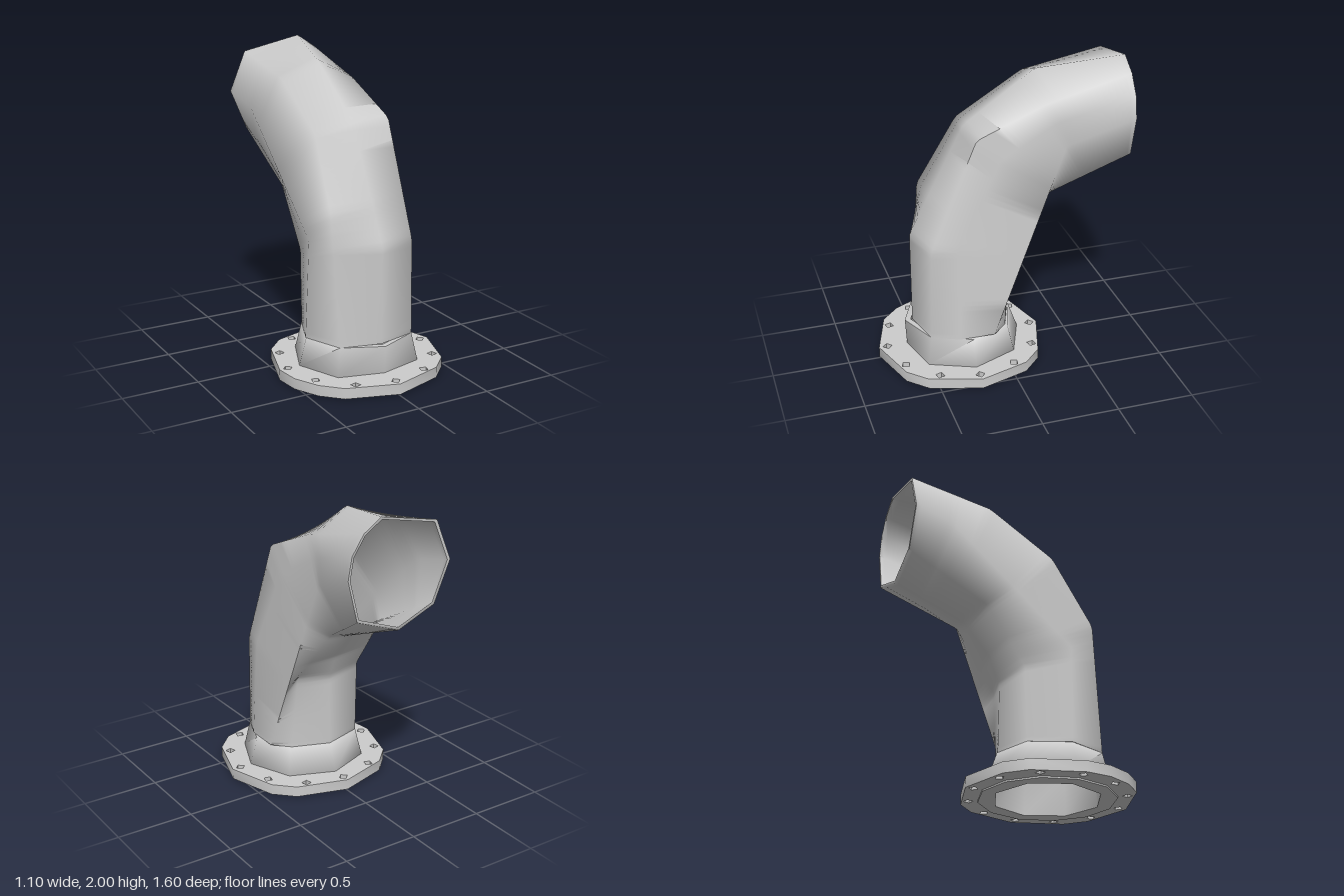
import * as THREE from 'three';
import { toCreasedNormals } from 'three/addons/utils/BufferGeometryUtils.js';

const CZ = 0.245; // flange axis
const grey = () => new THREE.MeshStandardMaterial({ color: 0xcccccc, side: THREE.DoubleSide });
const V = (p) => new THREE.Vector3(...p);

// Skin over a closed chain of rings (outer wall up, inner wall back down)
function loft(rings) {
  const n = rings[0].length, m = rings.length, index = [];
  for (let i = 0; i < m; i++) {
    const k = (i + 1) % m;
    for (let j = 0; j < n; j++) {
      const l = (j + 1) % n;
      const a = i * n + j, b = i * n + l, c = k * n + l, d = k * n + j;
      index.push(a, d, b, b, d, c);
    }
  }
  const g = new THREE.BufferGeometry();
  g.setAttribute('position', new THREE.Float32BufferAttribute(rings.flat().flatMap((p) => [p.x, p.y, p.z]), 3));
  g.setIndex(index);
  return toCreasedNormals(g, 1.35);
}

function shrink(ring, s) {
  const c = new THREE.Vector3();
  ring.forEach((p) => c.addScaledVector(p, 1 / ring.length));
  return ring.map((p) => c.clone().lerp(p, s));
}

// Lengthwise edges of the pipe, base to mouth, in order around the section
const strands = [
  [[0, 0.26, 0.565], [0, 0.89, 0.565], [0, 1.6, 0.2], [0, 1.92, -0.26], [0.14, 2, -0.8]],
  [[-0.26, 0.26, 0.5], [-0.29, 1.1, 0.44], [-0.26, 1.55, 0.18], [-0.26, 1.82, -0.26], [-0.26, 1.92, -0.8]],
  [[-0.365, 0.26, 0.245], [-0.345, 0.9, 0.26], [-0.345, 1.6, -0.55], [-0.37, 1.66, -0.8]],
  [[-0.26, 0.26, -0.01], [-0.26, 0.75, -0.02], [-0.26, 1.12, -0.27], [-0.26, 1.4, -0.8]],
  [[0, 0.26, -0.09], [0, 0.72, -0.08], [0, 0.9, -0.15], [0, 1.1, -0.32], [0, 1.29, -0.8]],
  [[0.24, 0.26, 0], [0.21, 0.75, -0.03], [0.15, 1.13, -0.32], [0.3, 1.4, -0.8]],
  [[0.34, 0.26, 0.1], [0.285, 1.5, -0.38], [0.365, 1.66, -0.8]],
  [[0.335, 0.26, 0.33], [0.3, 0.9, 0.32], [0.28, 1.45, 0.05], [0.265, 1.65, -0.32], [0.34, 1.8, -0.8]],
  [[0.26, 0.26, 0.5], [0.26, 0.88, 0.49], [0.26, 1.6, 0.19], [0.26, 1.78, -0.25], [0.26, 1.92, -0.8]],
].map((s) => s.map(V));

// Position along the pipe: straight riser, then angle around the bend
const along = (p) => (p.y > 0.63 ? Math.atan2(p.y - 0.63, p.z + 0.8) : p.y - 0.63);

function pointOn(strand, t) {
  let i = 0;
  while (i < strand.length - 2 && along(strand[i + 1]) < t) i++;
  const t0 = along(strand[i]), t1 = along(strand[i + 1]);
  return strand[i].clone().lerp(strand[i + 1], (t - t0) / (t1 - t0));
}

function pipeGeometry() {
  const steps = 60, outer = [];
  for (let i = 0; i <= steps; i++) {
    const t = THREE.MathUtils.lerp(-0.37, Math.PI / 2, i / steps);
    outer.push(strands.map((s) => pointOn(s, t)));
  }
  return loft([...outer, ...outer.map((r) => shrink(r, 0.95)).reverse()]);
}

// Tapered neck between flange and pipe
function neckGeometry() {
  const ring = (y, half) => {
    const mirrored = half.slice(1, -1).reverse().map(([x, z]) => [-x, z]);
    return [...half, ...mirrored].map(([x, z]) => new THREE.Vector3(x, y, z));
  };
  const bottom = ring(0.08, [[0, 0.605], [-0.29, 0.53], [-0.41, CZ], [-0.29, -0.045], [0, -0.16]]);
  const top = ring(0.26, [[0, 0.615], [-0.26, 0.5], [-0.36, CZ], [-0.26, -0.01], [0, -0.095]]);
  const bore = (y, r) => ring(y, [0, 1, 2, 3, 4].map((i) => {
    const a = (i * Math.PI) / 4;
    return [-r * Math.sin(a), CZ + r * Math.cos(a)];
  }));
  return loft([bottom, top, bore(0.26, 0.33), bore(0.005, 0.345)]);
}

// Regular polygon path in plan
function polygon(cx, cz, r, sides, turn) {
  return Array.from({ length: sides }, (_, i) => {
    const a = turn + (i * 2 * Math.PI) / sides;
    return new THREE.Vector2(cx + r * Math.cos(a), cz + r * Math.sin(a));
  });
}

// Flat plate with holes, drawn in plan (x, z), lying between two heights
function plate(outline, holes, y0, y1) {
  const shape = new THREE.Shape(outline);
  holes.forEach((h) => shape.holes.push(new THREE.Path(h)));
  const g = new THREE.ExtrudeGeometry(shape, { depth: y1 - y0, bevelEnabled: false });
  return toCreasedNormals(g.rotateX(Math.PI / 2).translate(0, y1, 0), 0.8);
}

export function createModel() {
  const group = new THREE.Group();
  const add = (name, geometry) => {
    const mesh = new THREE.Mesh(geometry, grey());
    mesh.name = name;
    group.add(mesh);
  };

  add('bentPipe', pipeGeometry());
  add('neck', neckGeometry());

  // Flange with a ring of twelve bolt holes
  const rim = [[0, 0.795], [0.33, 0.69], [0.45, 0.57], [0.55, CZ], [0.45, -0.08], [0.33, -0.2], [0, -0.3],
    [-0.33, -0.2], [-0.45, -0.08], [-0.55, CZ], [-0.53, 0.41], [-0.45, 0.57], [-0.33, 0.69]]
    .map(([x, z]) => new THREE.Vector2(x, z));
  const bore = polygon(0, CZ, 0.345, 8, 0);
  const boltHoles = Array.from({ length: 12 }, (_, i) => {
    const a = (i * Math.PI) / 6;
    return polygon(0.493 * Math.cos(a), CZ + 0.493 * Math.sin(a), 0.031, 4, a);
  });
  add('flange', plate(rim, [bore, ...boltHoles], 0.01, 0.08));
  add('gasketFace', plate(polygon(0, CZ, 0.435, 12, 0), [bore], 0, 0.01));
  return group;
}
